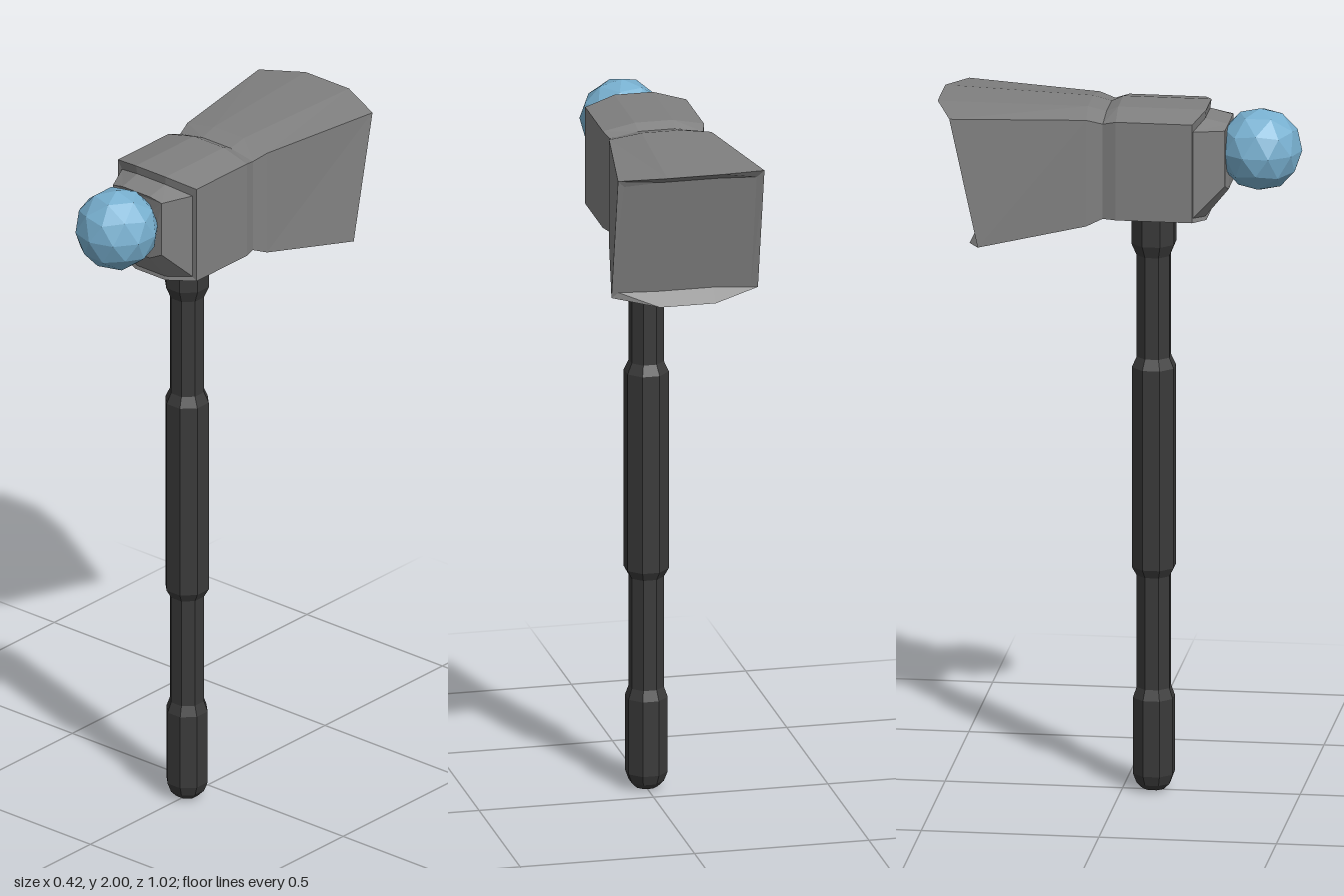
import * as THREE from 'three';

const metal = new THREE.MeshStandardMaterial({ color: 0x808080 });
metal.name = 'grey metal';
const grip = new THREE.MeshStandardMaterial({ color: 0x3a3a3a });
grip.name = 'dark grip';
const blue = new THREE.MeshStandardMaterial({ color: 0x78b0d0 });
blue.name = 'blue ball';
for (const m of [metal, grip, blue]) m.flatShading = true;

// Eight-sided section: s = outer corners, m = inner corners; each row is [x, top y, bottom y, top z, bottom z]
function section([s, m]) {
  const [sx, st, sb, szt, szb] = s;
  const [mx, mt, mb, mzt, mzb] = m;
  return [
    [sx, st, szt], [mx, mt, mzt], [-mx, mt, mzt], [-sx, st, szt],
    [-sx, sb, szb], [-mx, mb, mzb], [mx, mb, mzb], [sx, sb, szb],
  ];
}

// Skin the sections from front to back and close both ends
function loft(rows) {
  const rings = rows.map(section);
  const pos = [];
  const tri = (a, b, c) => pos.push(...a, ...b, ...c);
  for (let k = 0; k < rings.length - 1; k++) {
    const f = rings[k], b = rings[k + 1];
    for (let i = 0; i < 8; i++) {
      const j = (i + 1) % 8;
      tri(f[i], b[i], b[j]);
      tri(f[i], b[j], f[j]);
    }
  }
  const first = rings[0], last = rings[rings.length - 1];
  for (let i = 1; i < 7; i++) {
    tri(first[0], first[i], first[i + 1]);
    tri(last[0], last[i + 1], last[i]);
  }
  const g = new THREE.BufferGeometry();
  g.setAttribute('position', new THREE.Float32BufferAttribute(pos, 3));
  g.computeVertexNormals();
  return g;
}

export function createModel() {
  const model = new THREE.Group();
  const add = (name, geometry, material) => {
    const mesh = new THREE.Mesh(geometry, material);
    mesh.name = name;
    model.add(mesh);
    return mesh;
  };

  // Hammer head: tapered nose, block, narrow neck, flared rear with a recessed face
  add('hammerHead', loft([
    [[0.09, 1.945, 1.785, 0.30, 0.30], [0.05, 1.955, 1.765, 0.305, 0.305]],
    [[0.13, 1.95, 1.70, 0.215, 0.215], [0.052, 1.97, 1.685, 0.24, 0.24]],
    [[0.145, 1.975, 1.69, 0.215, 0.215], [0.055, 1.995, 1.675, 0.243, 0.243]],
    [[0.145, 1.975, 1.69, 0, 0], [0.055, 1.995, 1.675, -0.005, -0.005]],
    [[0.134, 1.965, 1.69, -0.038, -0.038], [0.052, 1.98, 1.677, -0.038, -0.038]],
    [[0.147, 1.978, 1.67, -0.083, -0.083], [0.055, 1.993, 1.655, -0.09, -0.09]],
    [[0.21, 1.985, 1.615, -0.46, -0.38], [0.08, 2.0, 1.59, -0.51, -0.42]],
    [[0.19, 1.965, 1.63, -0.452, -0.383], [0.08, 1.97, 1.625, -0.453, -0.382]],
  ]), metal);

  // Octagonal handle with rounded pommel, thicker grip bands and a collar
  const profile = [
    [0, 0], [0.03, 0.005], [0.046, 0.022], [0.056, 0.05], [0.056, 0.27],
    [0.046, 0.3], [0.046, 0.625], [0.059, 0.65], [0.059, 1.23], [0.046, 1.26],
    [0.046, 1.555], [0.06, 1.59], [0.06, 1.69],
  ].map(([r, y]) => new THREE.Vector2(r / Math.cos(Math.PI / 8), y));
  add('handle', new THREE.LatheGeometry(profile, 8, Math.PI / 8), grip).position.z = 0.088;

  // Faceted ball on the nose, with one vertex pointing up
  const ball = new THREE.IcosahedronGeometry(0.118, 1);
  ball.rotateX(-Math.atan2((1 + Math.sqrt(5)) / 2, 1));
  ball.rotateY(Math.PI / 2);
  add('ball', ball, blue).position.set(0, 1.871, 0.388);

  return model;
}
